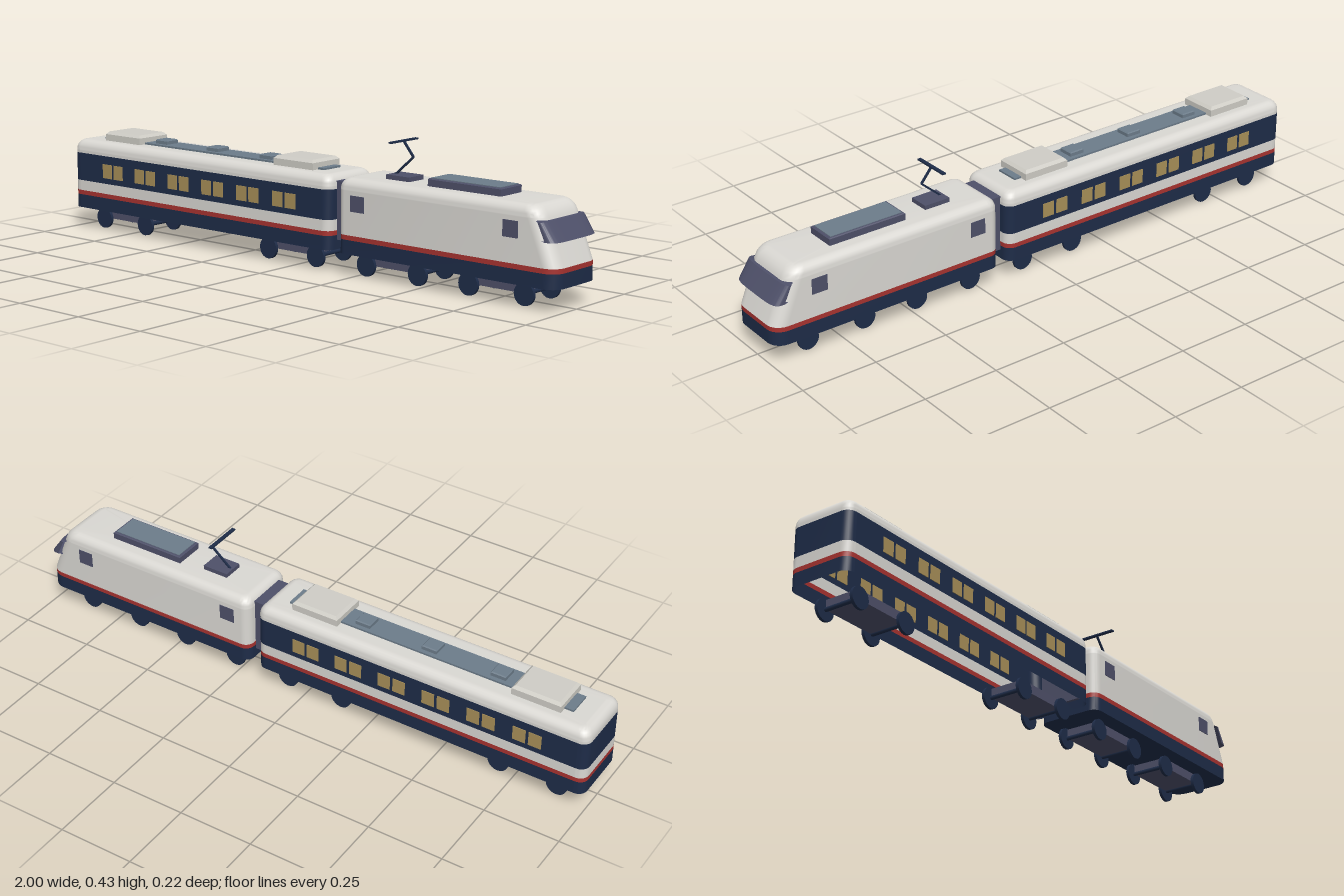
import * as THREE from 'three';
import { toCreasedNormals } from 'three/addons/utils/BufferGeometryUtils.js';

const mat = (name, color, side = THREE.FrontSide) => {
  const m = new THREE.MeshStandardMaterial({ color, side });
  m.name = name;
  return m;
};

// Rounded rectangle at height y, counter-clockwise seen from above
function outline(y, x0, x1, hz, rBack, rFront) {
  const pts = [], n = 6, e = 0.003;
  const corners = [[x1, -hz, rFront, 0], [x0, -hz, rBack, 1], [x0, hz, rBack, 2], [x1, hz, rFront, 3]];
  for (const [cx, cz, r, q] of corners) {
    const ox = cx - Math.sign(cx === x1 ? 1 : -1) * r, oz = cz - Math.sign(cz) * r;
    const at = (a, d) => pts.push([ox + r * Math.cos(a) - d * Math.sin(a), y, oz - r * Math.sin(a) - d * Math.cos(a)]);
    const a0 = q * Math.PI / 2;
    at(a0, -e);
    for (let i = 0; i <= n; i++) at(a0 + i / n * Math.PI / 2, 0);
    at(a0 + Math.PI / 2, e);
  }
  return pts;
}

// Skin through a stack of rings, with optional flat caps
function loft(rings, { closed = true, top = false, bottom = false } = {}) {
  const n = rings[0].length, pos = rings.flat(2), idx = [];
  for (let j = 0; j < rings.length - 1; j++) {
    for (let i = 0; i < (closed ? n : n - 1); i++) {
      const a = j * n + i, b = j * n + (i + 1) % n;
      idx.push(a, b, b + n, a, b + n, a + n);
    }
  }
  const cap = (j, up) => {
    const ring = rings[j], c = pos.length / 3;
    const xs = ring.map(p => p[0]);
    pos.push((Math.min(...xs) + Math.max(...xs)) / 2, ring[0][1], 0);
    for (let i = 0; i < n; i++) {
      const a = j * n + i, b = j * n + (i + 1) % n;
      idx.push(c, up ? a : b, up ? b : a);
    }
  };
  if (top) cap(rings.length - 1, true);
  if (bottom) cap(0, false);
  const g = new THREE.BufferGeometry();
  g.setAttribute('position', new THREE.Float32BufferAttribute(pos, 3));
  g.setIndex(idx);
  return toCreasedNormals(g, 0.5);
}

export function createModel() {
  const model = new THREE.Group();
  const navy = mat('navy', 0x1e2c48, THREE.DoubleSide);
  const red = mat('red', 0xa83330, THREE.DoubleSide);
  const white = mat('warmWhite', 0xdad8d3, THREE.DoubleSide);
  const purple = mat('greyPurple', 0x4e5069);
  const glass = mat('windscreenPurple', 0x4e5069, THREE.DoubleSide);
  const slate = mat('slate', 0x6c7c8a);
  const gold = mat('windowGold', 0xa88f58);
  const beige = mat('roofUnitGrey', 0xcfcdc6);

  const add = (parent, name, geo, m, x = 0, y = 0, z = 0) => {
    const mesh = new THREE.Mesh(geo, m);
    mesh.name = name;
    mesh.position.set(x, y, z);
    parent.add(mesh);
    return mesh;
  };
  // Box given by its x range, y range and half depth
  const box = (parent, name, m, x0, x1, y0, y1, hz, z = 0) =>
    add(parent, name, new THREE.BoxGeometry(x1 - x0, y1 - y0, hz * 2), m, (x0 + x1) / 2, (y0 + y1) / 2, z);
  // Box with a chamfered top edge
  const chamferBox = (parent, name, m, x0, x1, y0, y1, hz, c) => {
    const ring = (y, i) => [[x1 - i, y, hz - i], [x1 - i, y, i - hz], [x0 + i, y, i - hz], [x0 + i, y, hz - i]];
    add(parent, name, loft([ring(y0, 0), ring(y1 - c, 0), ring(y1, c)], { top: true }), m);
  };

  // Rounded shoulder: [height, inset] from wall to roof
  const shoulder = [[0.268, 0], [0.271, 0]];
  for (let i = 1; i <= 6; i++) {
    const a = i / 6 * Math.PI / 2;
    shoulder.push([0.271 + 0.034 * Math.sin(a), 0.03 * (1 - Math.cos(a))]);
  }
  shoulder.push([0.305, 0.034]);

  const body = (group, x0, frontX, rFront, bands) => {
    for (const [name, m, y0, y1, opts] of bands) {
      const levels = opts?.top ? [[y0, 0], ...shoulder] : [[y0, 0], [y1, 0]];
      const rings = levels.map(([y, i]) => {
        const k = 1 - i / 0.06;
        return outline(y, x0 + i, frontX(y) - i, 0.11 - i, 0.03 * k, rFront * k);
      });
      add(group, name, loft(rings, opts), m);
    }
  };

  // Passenger car, open underneath
  const car = new THREE.Group();
  car.name = 'passengerCar';
  body(car, -1, () => 0.16, 0.03, [
    ['carSkirt', navy, 0.07, 0.115],
    ['carRedStripe', red, 0.115, 0.13],
    ['carLowerPanel', white, 0.13, 0.165],
    ['carWindowBand', navy, 0.165, 0.26],
    ['carRoof', white, 0.26, 0.305, { top: true }],
  ]);
  for (const s of [-1, 1]) {
    for (let i = 0; i < 6; i++) {
      for (const d of [0, 0.053]) {
        const x = -0.853 + i * 0.156 + d;
        box(car, 'carWindow', gold, x, x + 0.043, 0.184, 0.232, 0.002, s * 0.11);
      }
    }
  }
  box(car, 'roofWalkway', slate, -0.915, 0.08, 0.3, 0.311, 0.04);
  for (const x of [-0.885, -0.11]) chamferBox(car, 'roofUnit', beige, x, x + 0.165, 0.3, 0.336, 0.064, 0.009);
  for (const x of [-0.655, -0.417, -0.18]) chamferBox(car, 'roofVent', slate, x - 0.026, x + 0.026, 0.305, 0.325, 0.026, 0.003);
  model.add(car);

  // Gangway between the vehicles
  box(model, 'gangway', purple, 0.15, 0.205, 0.1, 0.285, 0.07);

  // Locomotive with raked nose
  const loco = new THREE.Group();
  loco.name = 'locomotive';
  const noseX = y => 1 - Math.max(0, y - 0.13) * 0.4;
  body(loco, 0.193, noseX, 0.045, [
    ['locoSkirt', navy, 0.07, 0.115, { bottom: true }],
    ['locoRedStripe', red, 0.115, 0.13],
    ['locoShell', white, 0.13, 0.305, { top: true }],
  ]);
  for (const s of [-1, 1]) {
    for (const x of [0.248, 0.816]) box(loco, 'locoSideWindow', purple, x, x + 0.053, 0.205, 0.255, 0.002, s * 0.11);
  }

  // Wraparound windscreen, flaring out at its lower edge
  const screenRing = (y, xb, xf, hz) => Array.from({ length: 25 }, (_, i) => {
    const a = (i / 24 - 0.5) * Math.PI, s = Math.sin(a);
    return [xb + (xf - xb) * Math.sqrt(Math.abs(Math.cos(a))), y, -hz * Math.sign(s) * Math.sqrt(Math.abs(s))];
  });
  add(loco, 'windscreen', loft([
    screenRing(0.206, 0.93, 0.968, 0.1),
    screenRing(0.205, 0.962, 0.998, 0.111),
    screenRing(0.26, 0.936, 0.955, 0.111),
    screenRing(0.263, 0.92, 0.945, 0.1),
  ], { closed: false }), glass);

  // Locomotive roof equipment
  chamferBox(loco, 'roofHousing', purple, 0.498, 0.766, 0.3, 0.329, 0.051, 0.003);
  box(loco, 'roofHousingLid', slate, 0.506, 0.758, 0.325, 0.331, 0.044);
  const pan = new THREE.Group();
  pan.name = 'pantograph';
  box(pan, 'pantographBase', purple, 0.325, 0.415, 0.3, 0.319, 0.035);
  const rod = (x0, y0, x1, y1) => {
    const len = Math.hypot(x1 - x0, y1 - y0);
    const r = add(pan, 'pantographArm', new THREE.BoxGeometry(len, 0.006, 0.006), navy, (x0 + x1) / 2, (y0 + y1) / 2);
    r.rotation.z = Math.atan2(y1 - y0, x1 - x0);
  };
  rod(0.335, 0.317, 0.403, 0.376);
  rod(0.403, 0.376, 0.364, 0.423);
  box(pan, 'contactBar', navy, 0.358, 0.37, 0.42, 0.425, 0.065);
  loco.add(pan);
  model.add(loco);

  // Bogies: frame with four wheels and two axles each
  const wheelGeo = new THREE.CylinderGeometry(0.035, 0.035, 0.01, 20).rotateX(Math.PI / 2);
  const axleGeo = new THREE.CylinderGeometry(0.007, 0.007, 0.125, 8).rotateX(Math.PI / 2);
  for (const x of [-0.795, -0.03, 0.375, 0.765]) {
    const bogie = new THREE.Group();
    bogie.name = 'bogie';
    bogie.position.x = x;
    box(bogie, 'bogieFrame', purple, -0.1, 0.1, 0.035, 0.066, 0.06);
    for (const dx of [-0.1, 0.1]) {
      add(bogie, 'axle', axleGeo, navy, dx, 0.035);
      for (const s of [-1, 1]) add(bogie, 'wheel', wheelGeo, navy, dx, 0.035, s * 0.065);
    }
    model.add(bogie);
  }
  return model;
}
